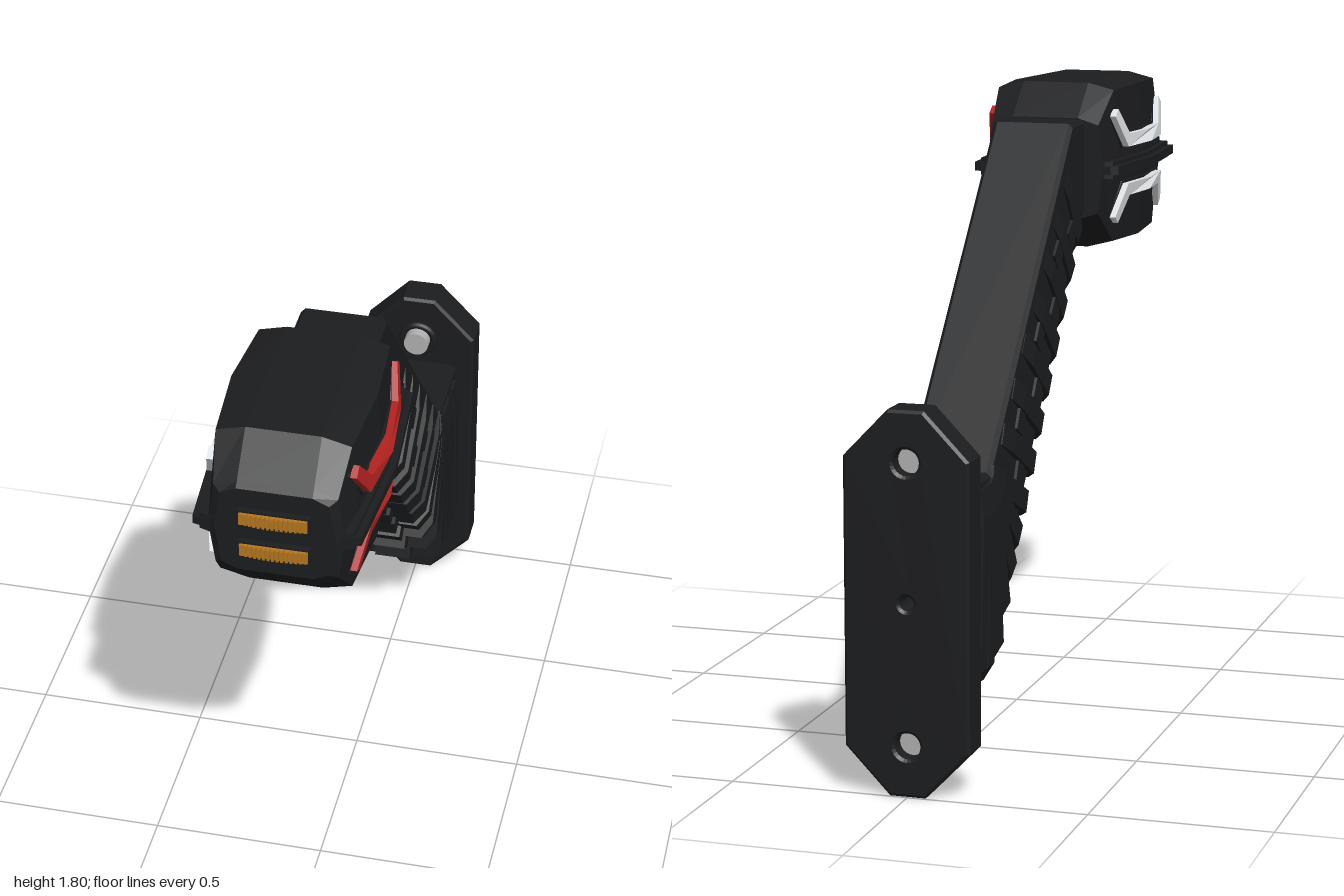
import * as THREE from 'three';

const mat = (color) => new THREE.MeshStandardMaterial({ color });
const black = mat(0x1c1d1f);
const red = mat(0xb3221f);
const white = mat(0xdcdfe2);
const amber = mat(0xb5761f);
const steel = mat(0xb0b0b0);
const V = (x, y, z) => new THREE.Vector3(x, y, z);

const toShape = (pts) => new THREE.Shape(pts.map(([a, b]) => new THREE.Vector2(a, b)));

function add(parent, name, geometry, material, x = 0, y = 0, z = 0) {
  const m = new THREE.Mesh(geometry, material);
  m.name = name;
  m.position.set(x, y, z);
  parent.add(m);
  return m;
}

// Side profile given as [z, y], extruded across x and centred on x = 0
function sideExtrude(pts, width, bevel = 0) {
  const g = new THREE.ExtrudeGeometry(toShape(pts), {
    depth: width - 2 * bevel, bevelEnabled: bevel > 0, bevelSize: bevel,
    bevelThickness: bevel, bevelOffset: -bevel, bevelSegments: 1,
  });
  g.translate(0, 0, -(width - 2 * bevel) / 2);
  return g.rotateY(-Math.PI / 2);
}

// Wall plate with pointed ends, bolt holes and a cable hole
function basePlate(root) {
  const s = toShape([[-0.05, 0], [0.05, 0], [0.175, 0.13], [0.175, 0.92],
    [0.05, 1.05], [-0.05, 1.05], [-0.175, 0.92], [-0.175, 0.13]]);
  for (const [y, r] of [[0.14, 0.036], [0.53, 0.02], [0.91, 0.036]]) {
    s.holes.push(new THREE.Path().absarc(0, y, r, 0, Math.PI * 2, true));
  }
  const g = new THREE.ExtrudeGeometry(s, {
    depth: 0.095, bevelThickness: 0.0075, bevelSize: 0.008, bevelOffset: -0.008, bevelSegments: 1,
  });
  add(root, 'basePlate', g, black, 0, 0, -0.9925);
  for (const y of [0.14, 0.91]) {
    const collar = new THREE.TorusGeometry(0.049, 0.011, 8, 28);
    add(root, 'boltCollar', collar, black, 0, y, -0.885);
    const bolt = new THREE.CylinderGeometry(0.038, 0.04, 0.1, 28).rotateX(Math.PI / 2);
    add(root, 'bolt', bolt, steel, 0, y, -0.9);
  }
}

// Rubber arm: core, centre spine and a run of ribs that fans out at the foot
function arm(root) {
  const group = new THREE.Group();
  group.name = 'arm';
  root.add(group);

  const top = [[0.32, 1.695], [0.16, 1.695], [-0.64, 0.82], [-0.9, 0.82]];
  const core = sideExtrude([...top, [-0.9, 0.29], [-0.66, 0.29], [0.26, 1.41], [0.32, 1.41]], 0.24, 0.012);
  add(group, 'core', core, black);
  const spine = sideExtrude([...top, [-0.9, 0.245], [-0.64, 0.245], [0.3, 1.38], [0.32, 1.38]], 0.055, 0.008);
  add(group, 'spine', spine, black);

  // Height of the upper edge of the arm at a given z
  const topY = (z) => (z < -0.64 ? 0.82 : 0.82 + (z + 0.64) * 1.094);

  function rib(bottom, upper, thickness) {
    const d = upper.clone().sub(bottom);
    const L = d.length() - 0.025;
    d.normalize();
    const w = THREE.MathUtils.mapLinear(bottom.y, 0.25, 1.35, 0.142, 0.128);
    const shape = toShape([[-w + 0.03, 0], [w - 0.03, 0], [w, 0.05], [w, L - 0.08],
      [w - 0.012, L], [-w + 0.012, L], [-w, L - 0.08], [-w, 0.05]]);
    const g = new THREE.ExtrudeGeometry(shape, { depth: thickness, bevelEnabled: false });
    g.translate(0, 0, -thickness / 2);
    const X = V(1, 0, 0);
    g.applyMatrix4(new THREE.Matrix4().makeBasis(X, d, X.clone().cross(d)).setPosition(bottom));
    add(group, 'rib', g, black);
  }

  const count = 12;
  for (let i = 0; i < count; i++) {
    const s = i / (count - 1);
    const zb = THREE.MathUtils.lerp(0.25, -0.61, s);
    const yb = 0.245 + (zb + 0.64) * 1.2075;
    const zt = Math.max(0.06 - s * 1.12, -0.62 - s * 0.05);
    const b = V(0, yb, zb), t = V(0, topY(zt), zt);
    rib(b, t, 0.062);
    if (i === count - 1) continue;
    // Small links bridging neighbouring ribs, on the underside and the flanks
    const d = t.clone().sub(b);
    const tilt = Math.atan2(d.z, d.y);
    const link = add(group, 'ribLink', new THREE.BoxGeometry(0.11, 0.06, 0.06), black,
      0, yb - 0.03, zb - 0.02);
    link.rotation.x = tilt;
    const p = b.clone().addScaledVector(d, i % 2 ? 0.62 : 0.38);
    const flank = add(group, 'flankLink', new THREE.BoxGeometry(0.256, 0.06, 0.08), black,
      0, p.y - 0.04, p.z - 0.035);
    flank.rotation.x = tilt;
  }
  for (const [zb, zt] of [[-0.7, -0.68], [-0.77, -0.73], [-0.85, -0.82]]) {
    rib(V(0, 0.25, zb), V(0, 0.82, zt), 0.05);
  }
}

// Faceted lamp housing lofted from ten-sided sections along z
function housing() {
  const sections = [[0.285, 0.15, 0.18], [0.40, 0.245, 0.195], [0.63, 0.25, 0.212],
    [0.86, 0.245, 0.195], [0.955, 0.145, 0.18], [0.97, 0.13, 0.16]];
  const n = 10, pos = [], idx = [];
  for (const [z, h, w] of sections) {
    const a = w - 0.017;
    const ring = [[w, 0], [a, h - 0.02], [0.1, h], [-0.1, h], [-a, h - 0.02],
      [-w, 0], [-a, 0.02 - h], [-0.1, -h], [0.1, -h], [a, 0.02 - h]];
    for (const [x, y] of ring) pos.push(x, 1.55 + y, z);
  }
  for (let i = 0; i < sections.length - 1; i++) {
    for (let j = 0; j < n; j++) {
      const a = i * n + j, b = i * n + ((j + 1) % n);
      idx.push(a, b, b + n, a, b + n, a + n);
    }
  }
  const f = (sections.length - 1) * n;
  for (let j = 1; j < n - 1; j++) idx.push(f, f + j, f + j + 1, 0, j + 1, j);
  const g = new THREE.BufferGeometry();
  g.setAttribute('position', new THREE.Float32BufferAttribute(pos, 3));
  g.setIndex(idx);
  const flat = g.toNonIndexed();
  flat.computeVertexNormals();
  return flat;
}

// Bent light strip that follows the bulge of the housing side
function lightStrip(side, up, grow, depth) {
  const e = grow;
  const outline = [[0.36 - e, 0.15 + e], [0.435 - e, 0.055 - e], [0.63, 0.055 - e], [0.815 + e, 0.055 - e],
    [0.89 + e, 0.15 + e], [0.86 - e, 0.17 + e], [0.79 - e, 0.092 + e], [0.63, 0.092 + e],
    [0.46 + e, 0.092 + e], [0.39 + e, 0.17 + e]];
  const pts = outline.map(([z, y]) => [z, 1.55 + up * y]);
  const g = sideExtrude(pts, depth);
  const p = g.attributes.position;
  for (let i = 0; i < p.count; i++) {
    const bulge = 0.025 * (1 - Math.abs(p.getZ(i) - 0.63) / 0.25);
    const lean = 0.14 * Math.abs(p.getY(i) - 1.55);
    p.setX(i, p.getX(i) + side * (0.215 - depth / 2 + bulge - lean));
  }
  g.computeVertexNormals();
  return g;
}

function head(root) {
  const group = new THREE.Group();
  group.name = 'lampHead';
  root.add(group);
  add(group, 'housing', housing(), black);

  // Guard rails around the middle of both sides, stepped in height
  for (const [out, h] of [[0, 0.026], [-0.018, 0.05]]) {
    const s = toShape([[-0.2 - out, -0.29], [0.2 + out, -0.29], [0.222 + out, -0.3], [0.245 + out, -0.63],
      [0.222 + out, -0.95], [0.17, -0.962], [-0.17, -0.962], [-0.222 - out, -0.95],
      [-0.245 - out, -0.63], [-0.222 - out, -0.3]]);
    const g = new THREE.ExtrudeGeometry(s, { depth: h, bevelEnabled: false });
    g.rotateX(-Math.PI / 2).translate(0, 1.547 - h / 2, 0);
    add(group, 'guardRail', g, black);
  }

  // Side lights: red on the left, white on the right
  for (const [side, material] of [[1, red], [-1, white]]) {
    for (const up of [1, -1]) {
      add(group, 'lightBezel', lightStrip(side, up, 0.007, 0.05), black, -side * 0.014);
      add(group, 'sideLight', lightStrip(side, up, 0, 0.06), material, side * 0.004);
    }
  }

  // Front marker lights with fine vertical flutes
  for (const y of [1.6, 1.5]) {
    add(group, 'markerBezel', new THREE.BoxGeometry(0.19, 0.045, 0.03), black, 0, y, 0.97);
    add(group, 'markerLight', new THREE.BoxGeometry(0.18, 0.034, 0.03), amber, 0, y, 0.977);
    for (let i = 0; i < 15; i++) {
      const x = (i - 7) * 0.012;
      add(group, 'markerFlute', new THREE.BoxGeometry(0.007, 0.034, 0.014), amber, x, y, 0.993 - x * x);
    }
  }
}

export function createModel() {
  const root = new THREE.Group();
  root.name = 'markerLamp';
  basePlate(root);
  arm(root);
  head(root);
  return root;
}
